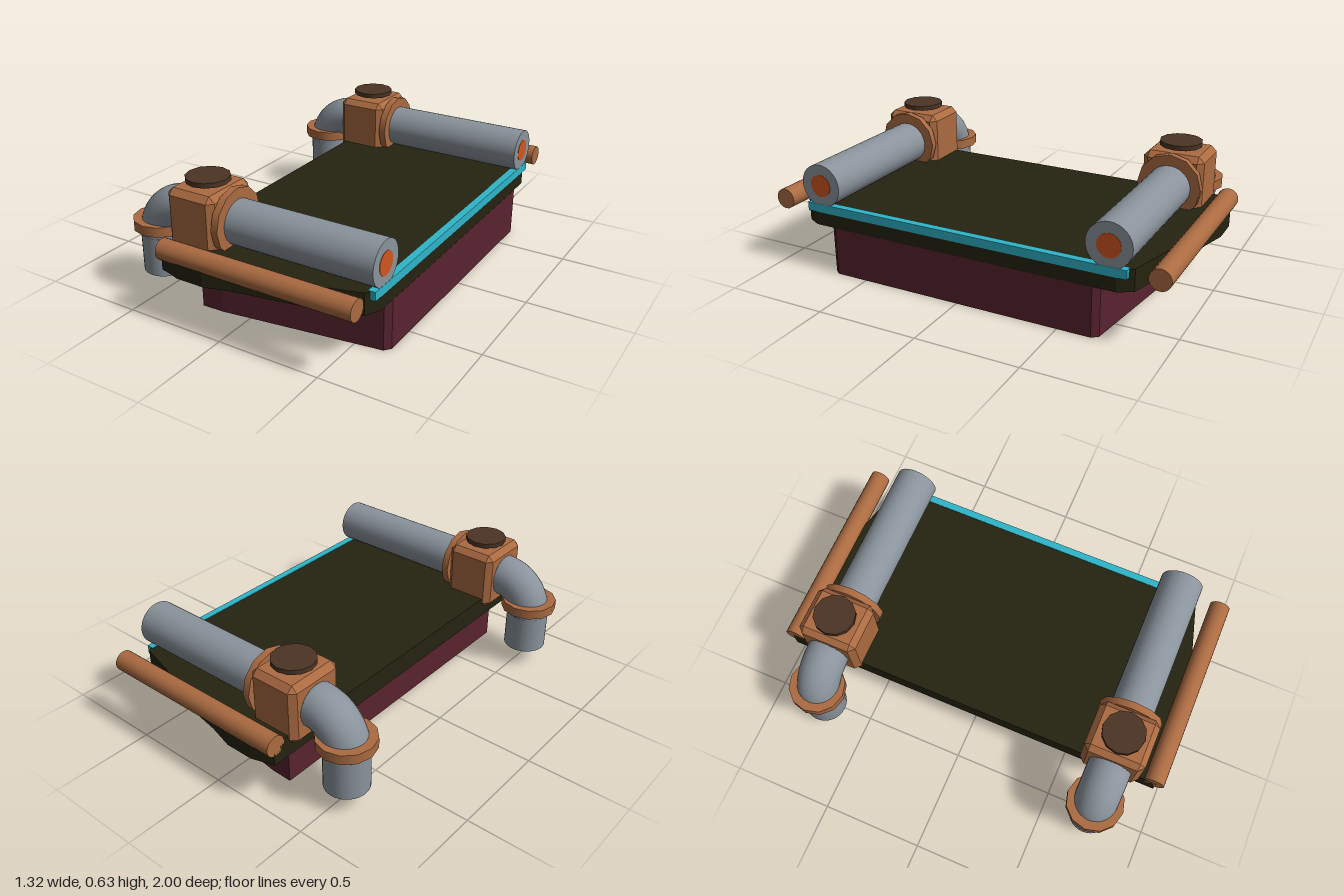
import * as THREE from 'three';
import { ConvexGeometry } from 'three/addons/geometries/ConvexGeometry.js';

const mat = (name, color, extra = {}) => {
  const m = new THREE.MeshStandardMaterial({ color, ...extra });
  m.name = name;
  return m;
};

// Plan outline given as [x, halfWidth] points, mirrored in z and extruded between two heights
function plate(points, bottom, top) {
  const outline = [...points, ...points.map(([x, z]) => [x, -z]).reverse()];
  const shape = new THREE.Shape(outline.map(([x, z]) => new THREE.Vector2(x, z)));
  return new THREE.ExtrudeGeometry(shape, { depth: top - bottom, bevelEnabled: false })
    .rotateX(Math.PI / 2).translate(0, top, 0);
}

// Box with flat chamfers on every edge and corner
function chamferBox(w, h, d, c) {
  const pts = [];
  const half = [w / 2, h / 2, d / 2];
  for (const sx of [-1, 1]) for (const sy of [-1, 1]) for (const sz of [-1, 1]) {
    for (let axis = 0; axis < 3; axis++) {
      const p = half.map((v, i) => (i === axis ? v : v - c));
      pts.push(new THREE.Vector3(sx * p[0], sy * p[1], sz * p[2]));
    }
  }
  return new ConvexGeometry(pts);
}

// Cylinder lying along x
const barX = (r, x0, x1, sides) =>
  new THREE.CylinderGeometry(r, r, x1 - x0, sides).rotateZ(Math.PI / 2).translate((x0 + x1) / 2, 0, 0);
// Upright cylinder
const barY = (r, y0, y1, sides) =>
  new THREE.CylinderGeometry(r, r, y1 - y0, sides).translate(0, (y0 + y1) / 2, 0);

export function createModel() {
  const model = new THREE.Group();
  model.name = 'pipeModule';

  const steel = mat('steel grey', 0x8a939c);
  const copper = mat('copper', 0xab6b41);
  const olive = mat('dark olive', 0x25230f);
  const maroon = mat('maroon', 0x58232f);
  const cyan = mat('cyan', 0x2fb5c9);
  const brown = mat('dark brown', 0x4b3424);
  const orange = mat('orange', 0xd2551f);

  const add = (parent, name, geometry, material, x = 0, y = 0, z = 0) => {
    const mesh = new THREE.Mesh(geometry, material);
    mesh.name = name;
    mesh.position.set(x, y, z);
    parent.add(mesh);
    return mesh;
  };

  // Lower block and the wider deck on top of it
  add(model, 'baseBlock',
    plate([[-0.25, 0.8], [-0.14, 0.797], [-0.02, 0.78], [0.632, 0.69], [0.656, 0.66]], 0, 0.24), maroon);
  add(model, 'deck',
    plate([[-0.33, 0.962], [-0.28, 0.975], [-0.22, 0.993], [-0.08, 0.993], [0.05, 0.957],
      [0.37, 0.9], [0.62, 0.832], [0.655, 0.765]], 0.24, 0.345), olive);

  // Light strip along the deck's end
  add(model, 'lightStrip', new THREE.BoxGeometry(0.036, 0.042, 1.62), cyan, 0.639, 0.327, 0);

  // Each side carries a rail and a pipe with valve and elbow
  for (const side of [1, -1]) {
    add(model, 'sideRail', barX(0.05, -0.33, 0.655, 20), copper, 0, 0.337, side * 0.95);

    const pipe = new THREE.Group();
    pipe.name = side > 0 ? 'leftPipe' : 'rightPipe';
    pipe.position.z = side * 0.727;
    model.add(pipe);

    const axisY = 0.442, downX = -0.524, bend = 0.157;
    add(pipe, 'mainPipe', barX(0.105, downX + bend, 0.656, 32), steel, 0, axisY);

    // Quarter bend from the horizontal pipe to the outlet
    add(pipe, 'elbow', new THREE.TorusGeometry(bend, 0.104, 28, 20, Math.PI / 2).rotateZ(Math.PI / 2),
      steel, downX + bend, axisY - bend);
    add(pipe, 'outlet', barY(0.105, 0.095, axisY - bend, 32), steel, downX);
    add(pipe, 'outletFlange', barY(0.138, 0.312, 0.36, 12), copper, downX);

    // Valve housing with its collar and floating cap
    add(pipe, 'valveHousing', chamferBox(0.255, 0.295, 0.295, 0.028), copper, -0.238, axisY);
    add(pipe, 'valveCollar', barX(0.155, -0.112, -0.077, 12), copper, 0, axisY + 0.003);
    add(pipe, 'valveCap', barY(0.102, 0.604, 0.627, 12), brown, -0.238);

    // Glowing insets in the open pipe ends
    add(pipe, 'pipeEndGlow', barX(0.055, 0.654, 0.658, 20), orange, 0, axisY);
    add(pipe, 'outletGlow', barY(0.055, 0.093, 0.097, 20), orange, downX);
  }

  return model;
}
